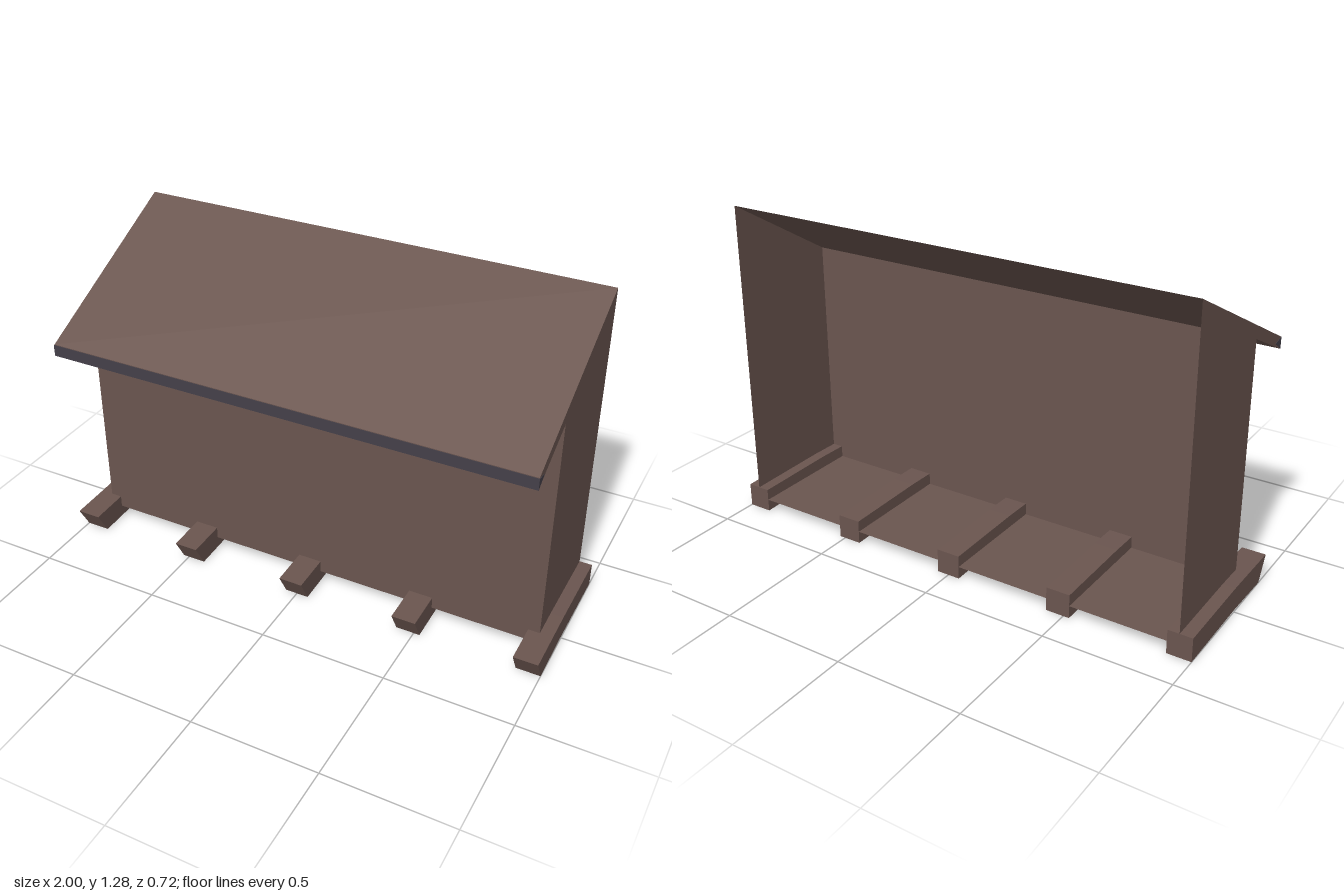
import * as THREE from 'three';

const HALF = 0.95; // half width of the shelter
const BACK = -0.355, FRONT = 0.12, FLOOR = 0.05;

// Extrudes a [z, y] profile along x, centred on x = 0
function extrudeX(profile, width) {
  const shape = new THREE.Shape(profile.map(([z, y]) => new THREE.Vector2(z, y)));
  const geo = new THREE.ExtrudeGeometry(shape, { depth: width, bevelEnabled: false });
  return geo.translate(0, 0, -width / 2).rotateY(-Math.PI / 2);
}

export function createModel() {
  const group = new THREE.Group();
  const wood = new THREE.MeshStandardMaterial({ color: 0x6a554f, flatShading: true, side: THREE.DoubleSide });
  wood.name = 'brown wood';
  const trim = new THREE.MeshStandardMaterial({ color: 0x444049, flatShading: true });
  trim.name = 'dark slate trim';

  const add = (name, geo, mat, x = 0, y = 0, z = 0) => {
    const mesh = new THREE.Mesh(geo, mat);
    mesh.name = name;
    mesh.position.set(x, y, z);
    group.add(mesh);
    return mesh;
  };

  // Sloping roof, tapering to a thin edge at the back
  add('roof', extrudeX([[0.357, 0.886], [0.357, 0.932], [BACK, 1.285], [FRONT, 1.0]], HALF * 2), wood);

  // Dark front edge of the roof, wrapping a little around the ends
  add('roofTrim', extrudeX([[0.36, 0.885], [0.36, 0.93], [0.31, 0.92]], HALF * 2 + 0.003), trim);

  // Thin front wall and floor; the back is open
  add('frontWall', new THREE.PlaneGeometry(HALF * 2, 1.0 - FLOOR), wood, 0, (1.0 + FLOOR) / 2, FRONT);
  const depth = FRONT - BACK;
  add('floor', new THREE.PlaneGeometry(HALF * 2, depth).rotateX(-Math.PI / 2), wood, 0, FLOOR, (FRONT + BACK) / 2);

  // Side walls with slanted tops
  const side = new THREE.Shape([[BACK, FLOOR], [FRONT, FLOOR], [FRONT, 1.0], [BACK, 1.285]]
    .map(([z, y]) => new THREE.Vector2(z, y)));
  for (const s of [-1, 1]) {
    const geo = new THREE.ShapeGeometry(side).rotateY(-Math.PI / 2);
    add(s > 0 ? 'leftWall' : 'rightWall', geo, wood, s * HALF);
  }

  // Five slightly bowed floor beams with slanted front ends
  const beam = extrudeX([[BACK, 0], [0, 0.007], [0.23, 0], [0.282, 0.095], [0, 0.1], [BACK, 0.095]], 0.095);
  for (let i = -2; i <= 2; i++) add('floorBeam', beam, wood, i * 0.47625);

  return group;
}
